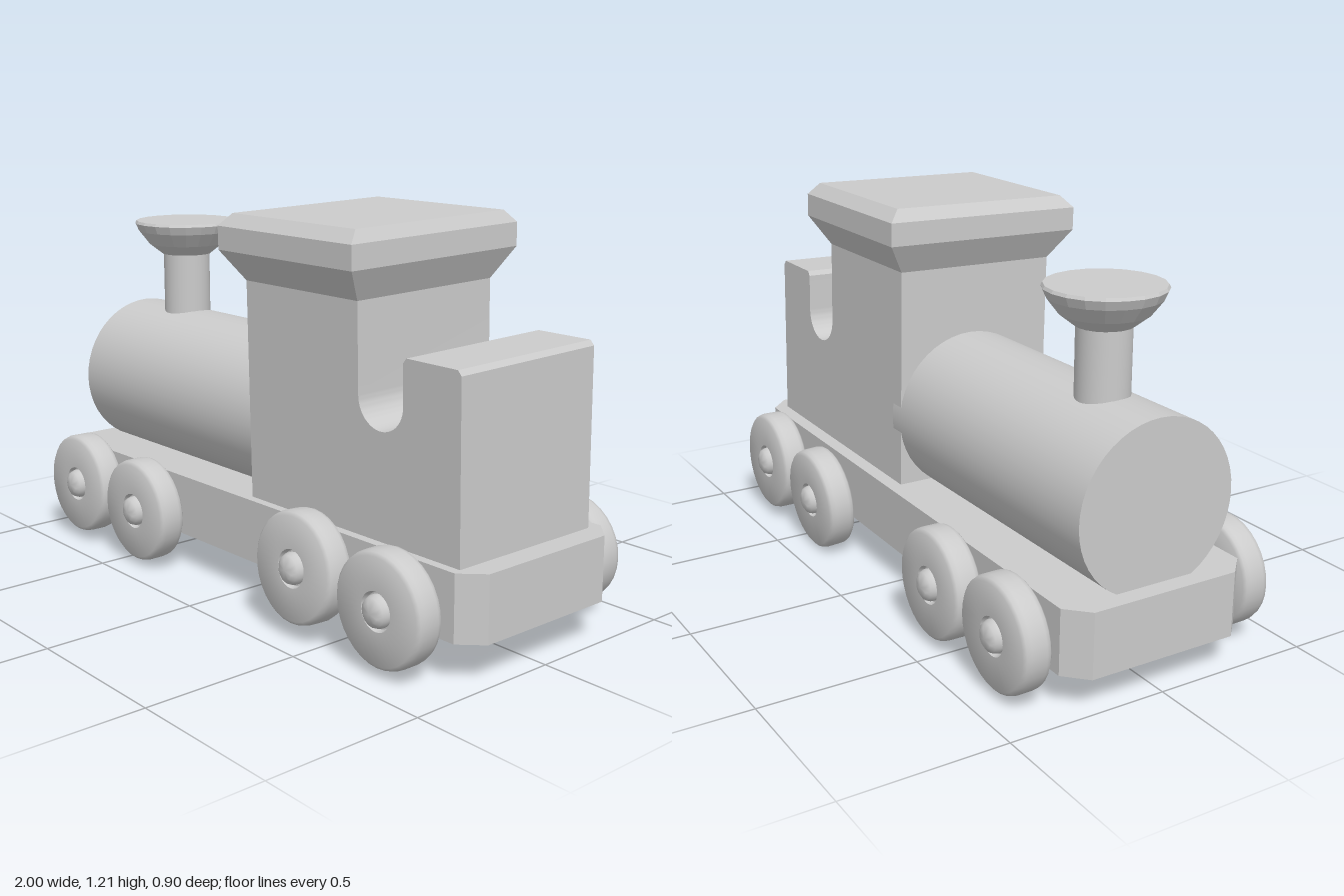
import * as THREE from 'three';
import { toCreasedNormals } from 'three/addons/utils/BufferGeometryUtils.js';

const material = new THREE.MeshStandardMaterial({ color: 0xcccccc });

function part(name, geometry, parent, crease = 0.6) {
  const mesh = new THREE.Mesh(toCreasedNormals(geometry, crease), material);
  mesh.name = name;
  parent.add(mesh);
  return mesh;
}

const vectors = (pairs) => pairs.map(([x, y]) => new THREE.Vector2(x, y));

// Solid of revolution whose axis lies along z
const turned = (pairs, sides) => new THREE.LatheGeometry(vectors(pairs), sides).rotateX(Math.PI / 2);

// Flat-sided solid from stacked rectangles [y, x0, x1, z0, z1], closed at both ends
function stackedBox(levels) {
  const corners = levels.map(([y, x0, x1, z0, z1]) => [[x0, y, z1], [x1, y, z1], [x1, y, z0], [x0, y, z0]]);
  const positions = [];
  const quad = (a, b, c, d) => positions.push(...a, ...b, ...c, ...a, ...c, ...d);
  for (let i = 0; i < corners.length - 1; i++) {
    for (let k = 0; k < 4; k++) {
      const n = (k + 1) % 4;
      quad(corners[i][k], corners[i][n], corners[i + 1][n], corners[i + 1][k]);
    }
  }
  quad(...corners[corners.length - 1]);
  quad(...[...corners[0]].reverse());
  const geometry = new THREE.BufferGeometry();
  geometry.setAttribute('position', new THREE.Float32BufferAttribute(positions, 3));
  geometry.computeVertexNormals();
  return geometry;
}

export function createModel() {
  const train = new THREE.Group();
  train.name = 'toyTrain';

  // Chassis: plank with cut corners, tipped very slightly
  const plank = new THREE.Shape(vectors([
    [-1, -0.24], [-0.935, -0.305], [0.935, -0.305], [1, -0.24],
    [1, 0.24], [0.935, 0.305], [-0.935, 0.305], [-1, 0.24],
  ]));
  const chassis = part('chassis',
    new THREE.ExtrudeGeometry(plank, { depth: 0.2, bevelEnabled: false }).translate(0, 0, -0.1).rotateX(-Math.PI / 2),
    train, 0.3);
  chassis.position.y = 0.222;
  chassis.rotation.z = 0.01;

  // Boiler
  const boiler = part('boiler', new THREE.CylinderGeometry(0.258, 0.258, 1.03, 48).rotateZ(Math.PI / 2), train);
  boiler.position.set(-0.43, 0.536, 0);

  // Chimney and its flared, closed funnel
  const chimney = part('chimney', new THREE.CylinderGeometry(0.08, 0.08, 0.28, 32), train);
  chimney.position.set(-0.69, 0.86, -0.006);
  const funnel = part('funnel', new THREE.LatheGeometry(vectors([
    [0, 0.985], [0.085, 0.99], [0.13, 1.025], [0.165, 1.07], [0.177, 1.097], [0.172, 1.106], [0, 1.106],
  ]), 20), train, 0.1);
  funnel.position.set(-0.69, 0, -0.006);

  // Cab and tender: one side profile with a round scoop, leaning a little
  const cab = new THREE.Group();
  cab.name = 'cab';
  cab.position.set(0, 0.3, 0.008);
  cab.rotation.x = 0.022;
  train.add(cab);
  const side = new THREE.Shape();
  side.moveTo(0.035, 0);
  side.lineTo(0.925, 0);
  side.lineTo(0.925, 0.565);
  side.lineTo(0.912, 0.58);
  side.lineTo(0.722, 0.58);
  side.lineTo(0.71, 0.565);
  side.lineTo(0.71, 0.445);
  side.absellipse(0.62, 0.445, 0.09, 0.088, 0, Math.PI, true);
  side.lineTo(0.53, 0.712);
  side.lineTo(0.035, 0.712);
  side.closePath();
  part('cabBody',
    new THREE.ExtrudeGeometry(side, { depth: 0.535, bevelEnabled: false, curveSegments: 20 }).translate(0, 0, -0.2675),
    cab);
  part('roof', stackedBox([
    [0.711, 0.035, 0.53, -0.2675, 0.2675],
    [0.805, -0.017, 0.577, -0.33, 0.33],
    [0.877, -0.017, 0.577, -0.33, 0.33],
    [0.914, 0.012, 0.555, -0.295, 0.295],
  ]), cab, 0.1);

  // Axles: x, wheel height on each side, and a small shift along the axle
  const axles = [
    [-0.78, 0.204, 0.193, 0],
    [-0.425, 0.192, 0.198, 0],
    [0.4, 0.22, 0.177, 0.003],
    [0.755, 0.199, 0.2, 0],
  ];
  const wheelProfile = [
    [0.03, 0.332], [0.158, 0.332], [0.167, 0.34], [0.17, 0.352],
    [0.17, 0.4], [0.166, 0.414], [0.156, 0.422], [0.058, 0.422], [0.052, 0.408], [0.03, 0.408],
  ];
  const hubProfile = [[0.048, 0.4], [0.048, 0.42], [0.042, 0.434], [0.028, 0.443], [0, 0.447]];
  for (const [x, frontY, backY, shift] of axles) {
    const axleSet = new THREE.Group();
    axleSet.name = 'wheelSet';
    axleSet.position.set(x, (frontY + backY) / 2, shift);
    axleSet.rotation.x = -Math.atan2(frontY - backY, 0.76);
    train.add(axleSet);
    part('axle', new THREE.CylinderGeometry(0.042, 0.042, 0.8, 20).rotateX(Math.PI / 2), axleSet);
    for (const turn of [0, Math.PI]) {
      part('wheel', turned(wheelProfile, 32), axleSet, 0.8).rotation.y = turn;
      part('hubCap', turned(hubProfile, 20), axleSet, 0.8).rotation.y = turn;
    }
  }
  return train;
}
